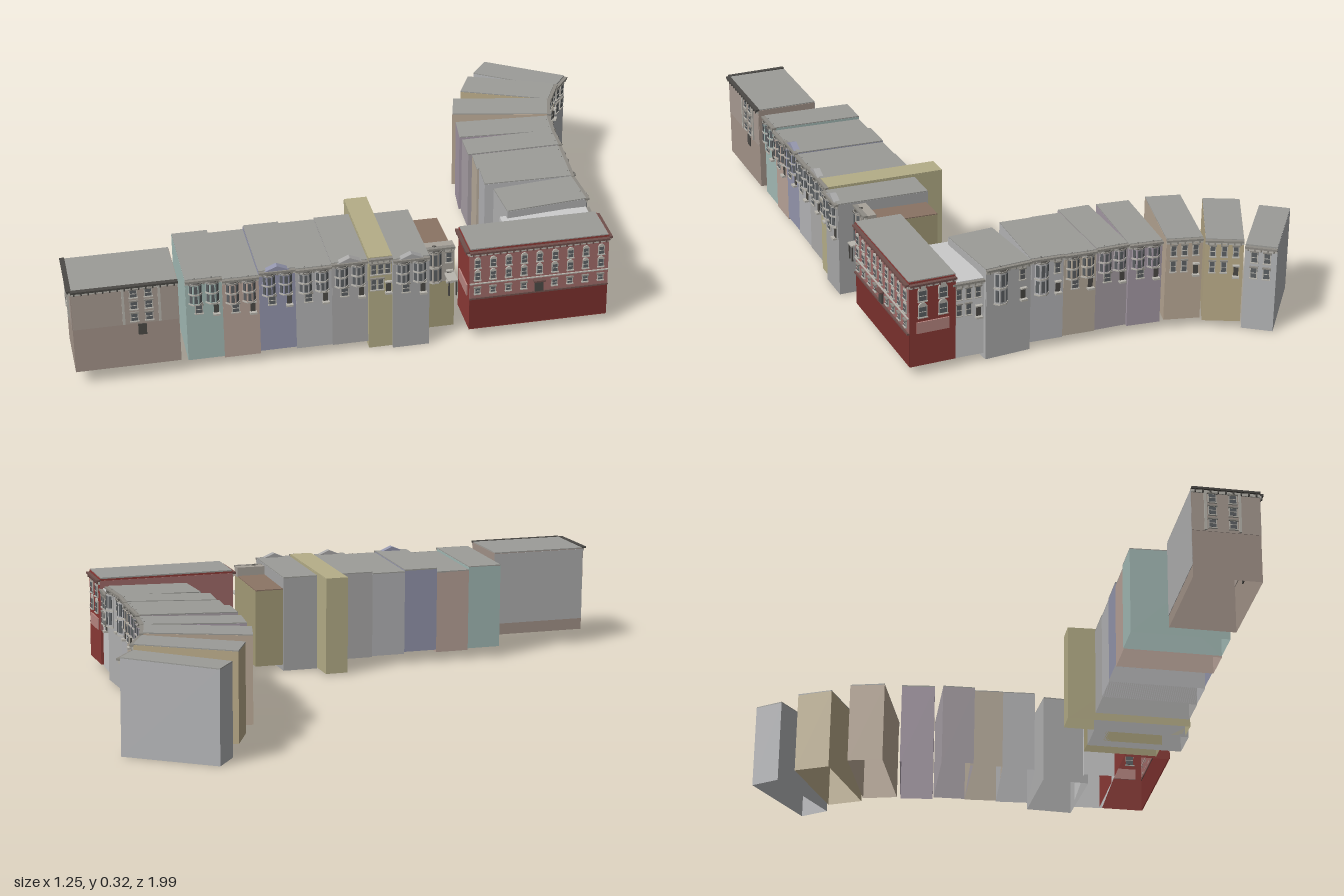
import * as THREE from 'three';

const mats = {};
const mat = (color) => (mats[color] ??= new THREE.MeshStandardMaterial({ color, flatShading: true, side: THREE.DoubleSide }));
const ROOF = 0x9c9c98, TRIM = 0xb9b6ae, GLASS = 0x5c6063, DARK = 0x4c4a46, STONE = 0x8f8c85;

function add(parent, name, geo, color, x = 0, y = 0, z = 0) {
  const m = new THREE.Mesh(geo, mat(color));
  m.name = name;
  m.position.set(x, y, z);
  parent.add(m);
  return m;
}
const box = (p, name, color, w, h, d, x, y, z) => add(p, name, new THREE.BoxGeometry(w, h, d), color, x, y, z);

// Framed sash window standing on a wall at local z
function sash(p, x, y, w, h, z = 0, arched = false) {
  box(p, 'windowFrame', TRIM, w + 0.005, h + 0.005, 0.004, x, y, z);
  box(p, 'windowGlass', GLASS, w, h, 0.006, x, y, z);
  box(p, 'windowBar', TRIM, w, 0.002, 0.008, x, y, z);
  box(p, 'windowSill', TRIM, w + 0.008, 0.003, 0.01, x, y - h / 2 - 0.003, z);
  if (arched) {
    const arch = add(p, 'windowArch', new THREE.CylinderGeometry(w / 2 + 0.002, w / 2 + 0.002, 0.006, 10, 1, false, Math.PI / 2, Math.PI), TRIM, x, y + h / 2, z);
    arch.rotation.x = Math.PI / 2;
  } else box(p, 'windowHood', STONE, w + 0.009, 0.004, 0.01, x, y + h / 2 + 0.003, z);
}

// Cornice with a row of brackets
function cornice(p, w, y, color = STONE) {
  box(p, 'cornice', color, w, 0.006, 0.014, w / 2, y - 0.002, 0.004);
  box(p, 'frieze', TRIM, w, 0.008, 0.006, w / 2, y - 0.009, 0.002);
  const n = Math.max(4, Math.round(w / 0.02));
  for (let i = 0; i < n; i++) box(p, 'bracket', color, 0.004, 0.008, 0.008, ((i + 0.5) * w) / n, y - 0.009, 0.005);
}

// Triangular gable over the facade
function gable(p, x, y, w, h, color) {
  const s = new THREE.Shape([[-w / 2, 0], [w / 2, 0], [0, h]].map((a) => new THREE.Vector2(...a)));
  add(p, 'gable', new THREE.ExtrudeGeometry(s, { depth: 0.02, bevelEnabled: false }), color, x, y, -0.014);
}

// Many-sided bay window with a low cap
function bay(p, x, y0, y1, r, color) {
  const put = (name, g, c, y) => { add(p, name, g, c, x, y, -0.004).rotation.y = Math.PI / 8; };
  put('bay', new THREE.CylinderGeometry(r, r, y1 - y0, 8), color, (y0 + y1) / 2);
  put('bayCap', new THREE.ConeGeometry(r + 0.004, 0.014, 8), DARK, y1 + 0.007);
  for (const y of [y0, (y0 + y1) / 2, y1]) put('bayBand', new THREE.CylinderGeometry(r + 0.002, r + 0.002, 0.004, 8), TRIM, y);
  for (const a of [-Math.PI / 4, 0, Math.PI / 4]) {
    const side = new THREE.Group();
    side.name = 'baySide';
    side.position.set(x, 0, -0.004);
    side.rotation.y = a;
    p.add(side);
    const h = (y1 - y0) * 0.36;
    for (const k of [0.26, 0.75]) box(side, 'bayGlass', GLASS, r * 0.45, h, 0.004, 0, y0 + (y1 - y0) * k, r * 0.924);
  }
}

// Local frame of a house: x runs along the facade, the front wall is z = 0
function frame(root, name, ax, az, bx, bz) {
  const g = new THREE.Group();
  g.name = name;
  g.position.set(ax, 0, az);
  g.rotation.y = Math.atan2(az - bz, bx - ax);
  root.add(g);
  return [g, Math.hypot(bx - ax, bz - az)];
}

// Side wall of a house as its own local frame: side 1 is the right end, -1 the left
function endWall(g, w, d, side) {
  const e = new THREE.Group();
  e.name = 'endWall';
  e.position.set(side > 0 ? w : 0, 0, side > 0 ? 0 : -d);
  e.rotation.y = (side * Math.PI) / 2;
  g.add(e);
  return e;
}

// Block open underneath, with a slab roof that falls a little to the back
function block(g, w, d, y0, y1, color, roof = ROOF, drop = 0.008) {
  const geo = new THREE.BoxGeometry(w, y1 - y0, d);
  const top = new THREE.BoxGeometry(w * 0.99, 0.004, d);
  for (const q of [geo, top]) {
    const pos = q.attributes.position;
    for (let i = 0; i < pos.count; i++) {
      if (pos.getZ(i) < 0 && (q === top || pos.getY(i) > 0)) pos.setY(i, pos.getY(i) - drop);
    }
    q.computeVertexNormals();
  }
  geo.setIndex([...geo.index.array].filter((_, i) => i < 18 || i >= 24));
  add(g, 'walls', geo, color, w / 2, (y0 + y1) / 2, -d / 2);
  add(g, 'roof', top, roof, w / 2, y1 + 0.001, -d / 2);
}

// Row house facade: type 0 sash windows, 1 one bay, 2 two bays under a gable, 3 two bays
function facade(g, w, y1, color, type) {
  const y0 = y1 - 0.115;
  box(g, 'upperFront', color, w * 0.98, 0.11, 0.004, w / 2, y0 + 0.055, 0);
  cornice(g, w, y1);
  box(g, 'door', DARK, 0.014, 0.032, 0.006, w * 0.82, y0 + 0.018, 0.002);
  box(g, 'doorHood', TRIM, 0.02, 0.004, 0.014, w * 0.82, y0 + 0.036, 0.005);
  box(g, 'step', TRIM, 0.02, 0.006, 0.016, w * 0.82, y0, 0.007);
  if (type === 0) {
    for (const k of [0.2, 0.5, 0.8]) sash(g, w * k, y1 - 0.035, 0.013, 0.03, 0.003);
    for (const k of [0.2, 0.5]) sash(g, w * k, y0 + 0.03, 0.013, 0.032, 0.003);
  } else if (type === 1) {
    bay(g, w * 0.32, y0 + 0.004, y1 - 0.01, 0.022, color);
    sash(g, w * 0.8, y1 - 0.035, 0.014, 0.03, 0.003);
  } else {
    for (const k of [0.27, 0.73]) bay(g, w * k, y0 + 0.04, y1 - 0.01, 0.02, color);
    sash(g, w * 0.35, y0 + 0.02, 0.018, 0.024, 0.003);
    if (type === 2) gable(g, w * 0.5, y1, 0.075, 0.016, color);
  }
}

const R = Math.SQRT1_2;
// Straight row, measured along (s) and across (t) the diagonal street
const along = (root, name, s0, s1, t) => frame(root, name, (s0 + t) * R, (t - s0) * R, (s1 + t) * R, (t - s1) * R);

export function createModel() {
  const root = new THREE.Group();
  root.name = 'streetOfRowHouses';

  // Wide end building, with windows on the street front and on the free end
  {
    const [g, w] = along(root, 'wideEndHouse', -1.036, -0.735, 0.354);
    const d = 0.189;
    block(g, w, d, 0.045, 0.309, 0xa39389, ROOF, 0.002);
    box(g, 'backWall', 0xb0b0b0, w, 0.225, 0.002, w / 2, 0.193, -d);
    const windows = (p, len, columns) => {
      box(p, 'upperFront', 0xa89b92, len * 0.99, 0.12, 0.003, len / 2, 0.245, 0);
      cornice(p, len, 0.312, DARK);
      for (const k of columns) for (const y of [0.208, 0.247, 0.285]) sash(p, len * k, y, 0.018, 0.022, 0.002);
      for (const k of [columns[0] - 0.1, columns[1] + 0.1]) box(p, 'pilaster', TRIM, 0.007, 0.115, 0.008, len * k, 0.245, 0.002);
    };
    windows(g, w, [0.58, 0.72]);
    windows(endWall(g, w, d, -1), d, [0.3, 0.6]);
    box(g, 'door', DARK, 0.024, 0.035, 0.006, w * 0.65, 0.165, 0);
  }

  // Straight row: s range, front t, depth, bottom, top, wall colour, facade type
  const straight = [
    [-0.714, -0.609, 0.342, 0.28, 0.033, 0.298, 0xa3bab5, 3],
    [-0.609, -0.504, 0.342, 0.28, 0.028, 0.288, 0xb8a398, 3],
    [-0.504, -0.399, 0.342, 0.28, 0.036, 0.3, 0x9496ad, 2],
    [-0.399, -0.294, 0.342, 0.28, 0.03, 0.295, 0xb4b4b6, 3],
    [-0.294, -0.189, 0.342, 0.28, 0.027, 0.3, 0xabaaa9, 2],
    [-0.187, -0.118, 0.345, 0.365, 0.005, 0.305, 0xb5ae88, 0],
    [-0.118, -0.011, 0.355, 0.285, 0.002, 0.298, 0xa8a8a8, 2],
  ];
  for (const [s0, s1, t, d, y0, y1, c, type] of straight) {
    const [g, w] = along(root, 'rowHouse', s0, s1, t);
    block(g, w, d, y0, y1, c, c === 0xb5ae88 ? c : ROOF);
    facade(g, w, y1, c, type);
  }

  // Low house with a brown roof, set back beside the corner, with a taller front
  {
    const [g, w] = along(root, 'brownRoofHouse', -0.011, 0.076, 0.298);
    block(g, w, 0.223, 0.02, 0.262, 0xa59c78, 0x8b7464);
    box(g, 'parapet', 0xa8a29a, w, 0.03, 0.03, w / 2, 0.275, -0.015);
    facade(g, w, 0.29, 0xa8a29a, 1);
    box(g, 'porchRoof', TRIM, 0.03, 0.005, 0.05, w - 0.015, 0.2, 0.025);
    for (const x of [0.026, 0.004]) box(g, 'porchPost', DARK, 0.004, 0.05, 0.004, w - x, 0.175, 0.046);
  }

  // Red corner building
  {
    const [g, w] = along(root, 'redCornerBuilding', 0.11, 0.526, 0.346);
    const RED = 0x8c3a36, PINK = 0xa06a68, BROWN = 0x70504c, depth = 0.14;
    block(g, w, depth, 0.028, 0.296, RED, ROOF, 0.002);
    for (const z of [0, -depth]) box(g, 'upperWall', PINK, w, 0.155, 0.003, w / 2, 0.21, z);
    box(g, 'lowerFront', 0x7a302d, w, 0.1, 0.003, w / 2, 0.081, 0);
    cornice(g, w, 0.289, BROWN);
    box(g, 'stringCourse', TRIM, w, 0.003, 0.008, w / 2, 0.183, 0.002);
    box(g, 'baseCourse', BROWN, w, 0.005, 0.01, w / 2, 0.134, 0.002);
    for (let i = 0; i < 9; i++) {
      const x = ((i + 0.5) * w) / 9;
      for (const y of [0.25, 0.209]) sash(g, x, y, 0.014, 0.023, 0.003, true);
      if (i !== 4) sash(g, x, 0.16, 0.013, 0.016, 0.003);
    }
    box(g, 'door', DARK, 0.026, 0.035, 0.01, w / 2, 0.153, 0.002);
    box(g, 'doorHood', BROWN, 0.036, 0.005, 0.02, w / 2, 0.173, 0.005);
    // End walls: arched windows on the free end, a shop front on both
    for (const side of [-1, 1]) {
      const e = endWall(g, w, depth, side);
      cornice(e, depth, 0.289, BROWN);
      box(e, 'shopFront', 0xb98782, depth * 0.7, 0.035, 0.008, depth / 2, 0.15, 0);
      if (side > 0) for (const k of [0.28, 0.72]) for (const y of [0.25, 0.2]) sash(e, depth * k, y, 0.022, 0.03, 0.002, true);
    }
  }

  // Curved row: front left x z, front right x z, depth, bottom, top, colour, facade type, roof
  const curved = [
    [0.517, -0.215, 0.452, -0.285, 0.262, 0.024, 0.262, 0xbdbdbd, 0, 0xc4c4c6],
    [0.45, -0.29, 0.345, -0.385, 0.245, 0.003, 0.288, 0xb2b2b2, 1, ROOF],
    [0.345, -0.385, 0.28, -0.46, 0.265, 0.025, 0.29, 0xb5b5b7, 1, ROOF],
    [0.28, -0.46, 0.215, -0.535, 0.272, 0.028, 0.288, 0xb8ac9c, 3, ROOF],
    [0.215, -0.535, 0.148, -0.607, 0.284, 0.03, 0.292, 0xa8a0a6, 3, ROOF],
    [0.148, -0.61, 0.085, -0.69, 0.29, 0.025, 0.288, 0xa599a5, 3, ROOF],
    [0.08, -0.7, 0.026, -0.793, 0.3, 0.03, 0.29, 0xb8a794, 0, ROOF],
    [0.026, -0.8, -0.01, -0.905, 0.287, 0.022, 0.285, 0xb9aa88, 0, ROOF],
  ];
  for (const [ax, az, bx, bz, d, y0, y1, c, type, roof] of curved) {
    const [g, w] = frame(root, 'curvedRowHouse', ax, az, bx, bz);
    block(g, w, d, y0, y1, c, roof);
    facade(g, w, y1, c, type);
  }

  // Plain grey block closing the curved row
  const [g, w] = frame(root, 'greyEndHouse', -0.013, -0.908, -0.026, -1);
  block(g, w, 0.284, 0, 0.27, 0xb3b4b6);
  cornice(g, w, 0.268);
  for (const k of [0.3, 0.7]) for (const y of [0.235, 0.185]) sash(g, w * k, y, 0.016, 0.03, 0.002);

  return root;
}
